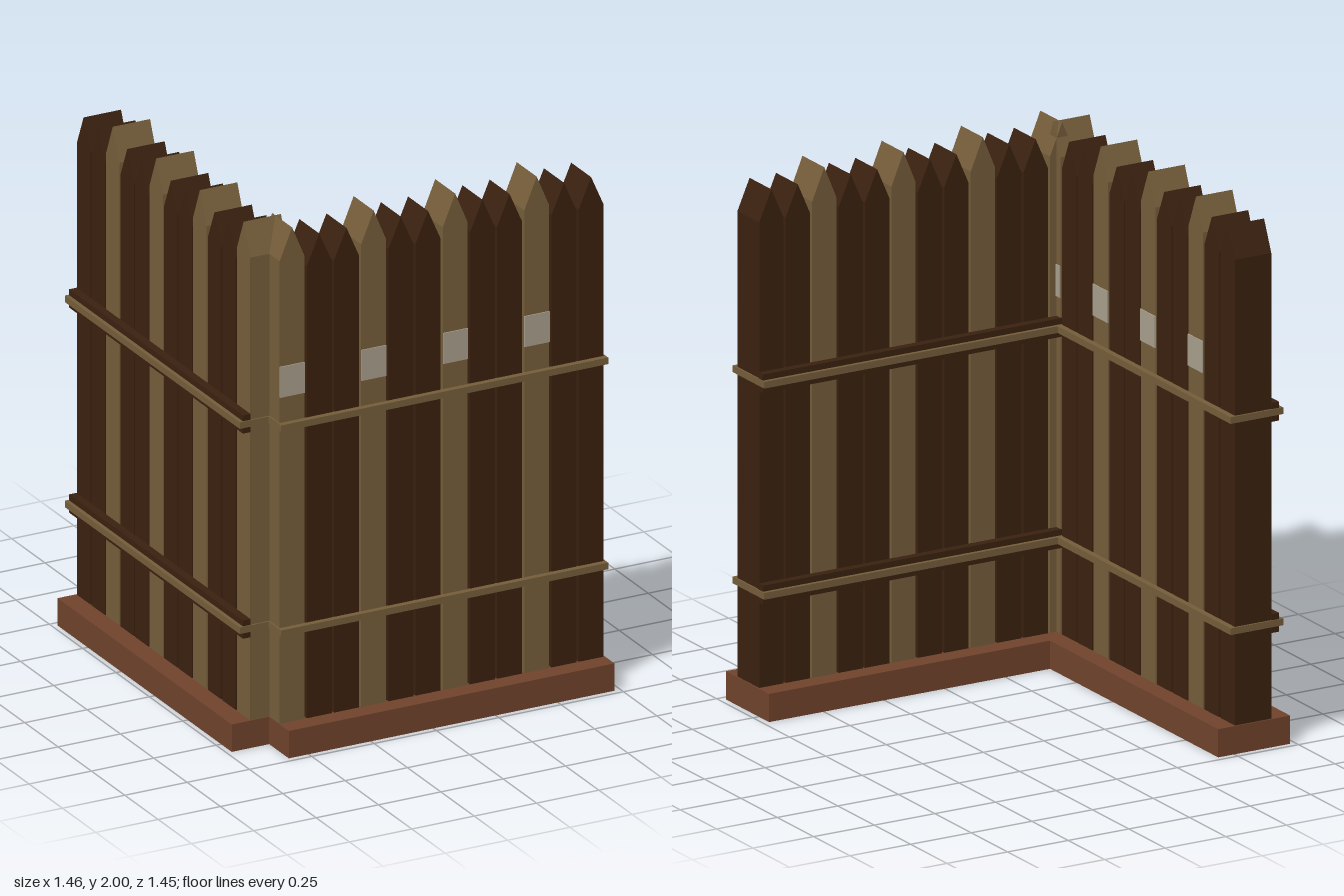
import * as THREE from 'three';

const mat = (name, color, extra = {}) => Object.assign(new THREE.MeshStandardMaterial({ color, ...extra }), { name });

export function createModel() {
  const lightWood = mat('light wood', 0x755d3a);
  const darkWood = mat('dark wood', 0x3a210f);
  const clay = mat('clay base', 0x70432c);
  const paint = mat('pale paint', 0xa89f8d);

  const PITCH = 0.109, WIDTH = 0.1, DEPTH = 0.15, FIRST = -0.528;

  // Box given by its minimum and maximum corners
  function box(name, material, [x0, y0, z0], [x1, y1, z1]) {
    const mesh = new THREE.Mesh(new THREE.BoxGeometry(x1 - x0, y1 - y0, z1 - z0), material);
    mesh.position.set((x0 + x1) / 2, (y0 + y1) / 2, (z0 + z1) / 2);
    mesh.name = name;
    return mesh;
  }

  // Board with a gabled tip, ridge running through its depth
  function plankGeometry(shoulder, tip) {
    const h = WIDTH / 2;
    const shape = new THREE.Shape([
      new THREE.Vector2(-h, 0.02), new THREE.Vector2(h, 0.02),
      new THREE.Vector2(h, shoulder), new THREE.Vector2(0, tip), new THREE.Vector2(-h, shoulder),
    ]);
    return new THREE.ExtrudeGeometry(shape, { depth: DEPTH, bevelEnabled: false }).translate(0, 0, -DEPTH / 2);
  }
  const tallPlank = plankGeometry(1.88, 2);
  const shortPlank = plankGeometry(1.84, 1.955);

  // Rectangular rope loop binding the planks
  function ropeGeometry() {
    const rect = (x0, z0, x1, z1) => [[x0, z0], [x1, z0], [x1, z1], [x0, z1]].map(p => new THREE.Vector2(...p));
    const shape = new THREE.Shape(rect(-0.584, -0.097, 0.728, 0.12));
    shape.holes.push(new THREE.Path(rect(-0.576, -0.073, 0.72, 0.104)));
    return new THREE.ExtrudeGeometry(shape, { depth: 0.025, bevelEnabled: false })
      .translate(0, 0, -0.0125).rotateX(-Math.PI / 2);
  }
  const rope = ropeGeometry();

  // One wall running along x with its painted side facing +z
  function wall(name) {
    const g = new THREE.Group();
    g.name = name;
    g.add(box('base', clay, [-0.58, 0, -0.15], [0.726, 0.105, 0.147]));
    for (let i = 0; i < 12; i++) {
      const tall = i % 3 === 0, x = FIRST + i * PITCH;
      const plank = new THREE.Mesh(tall ? tallPlank : shortPlank, tall ? lightWood : darkWood);
      plank.name = tall ? 'tallPlank' : 'shortPlank';
      plank.position.x = x;
      g.add(plank);
      if (tall) {
        g.add(box('paintBand', paint, [x - 0.05, 1.357, 0.074], [x + 0.05, 1.475, 0.079]));
      }
    }
    // Backing rails and the ropes around them
    for (const y of [0.46, 1.247]) {
      g.add(box('rail', darkWood, [-0.58, y - 0.035, -0.105], [0.724, y + 0.035, -0.074]));
      const loop = new THREE.Mesh(rope, lightWood);
      loop.name = 'rope';
      loop.position.y = y;
      g.add(loop);
    }
    return g;
  }

  const model = new THREE.Group();
  model.name = 'cornerFence';
  const front = wall('frontWall');
  front.position.z = 0.58;
  const side = wall('sideWall');
  side.rotation.y = Math.PI / 2;
  side.position.x = -0.58;
  model.add(front, side);
  return model;
}
